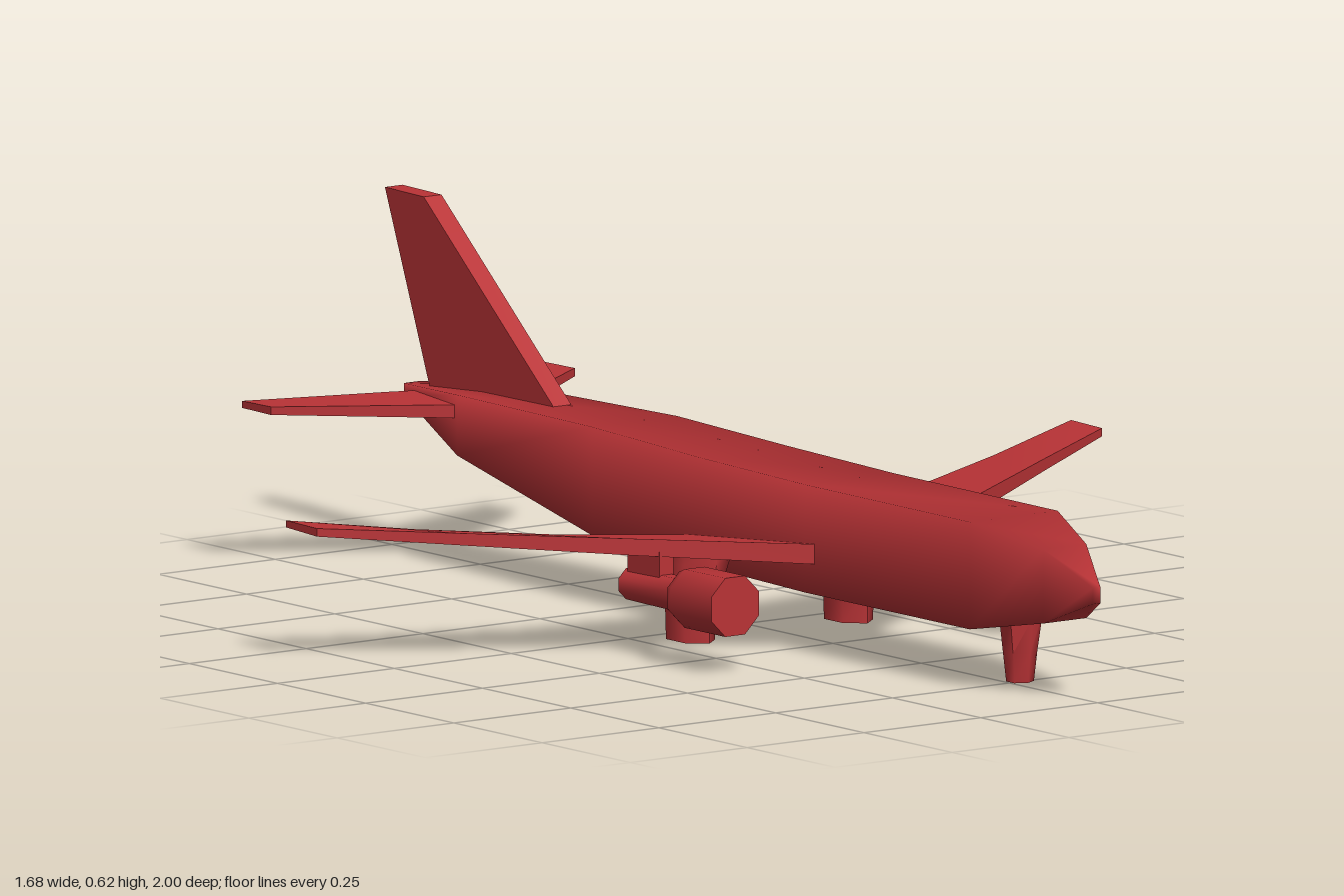
import * as THREE from 'three';
import { toCreasedNormals } from 'three/addons/utils/BufferGeometryUtils.js';

const paint = new THREE.MeshStandardMaterial({ color: 0xb93336 });

// Skin a closed solid over a list of rings (each a list of [x, y, z]); crease 0 = fully smooth
function loft(name, rings, crease = 0) {
  const n = rings[0].length;
  const pts = rings.flat();
  let index = [];
  for (let r = 0; r < rings.length - 1; r++) {
    for (let i = 0; i < n; i++) {
      const a = r * n + i, b = r * n + (i + 1) % n;
      index.push(a, b, b + n, a, b + n, a + n);
    }
  }
  const last = (rings.length - 1) * n;
  for (let i = 1; i < n - 1; i++) {
    index.push(0, i + 1, i, last, last + i, last + i + 1);
  }
  // Turn the faces outward whichever way the rings run
  const v = pts.map(p => new THREE.Vector3(...p));
  const mid = v.reduce((s, p) => s.add(p), new THREE.Vector3()).divideScalar(v.length);
  v.forEach(p => p.sub(mid));
  let volume = 0;
  for (let i = 0; i < index.length; i += 3) {
    volume += v[index[i]].dot(v[index[i + 1]].clone().cross(v[index[i + 2]]));
  }
  if (volume < 0) index = index.reverse();
  let geo = new THREE.BufferGeometry();
  geo.setAttribute('position', new THREE.Float32BufferAttribute(pts.flat(), 3));
  geo.setIndex(index);
  if (crease) geo = toCreasedNormals(geo, crease);
  else geo.computeVertexNormals();
  const mesh = new THREE.Mesh(geo, paint);
  mesh.name = name;
  return mesh;
}

// Wing section at x: leading and trailing z with the y range of each edge
const section = (x, zLead, yLead, zTrail, yTrail) => [
  [x, yLead[0], zLead], [x, yLead[1], zLead],
  [x, yTrail[1], zTrail], [x, yTrail[0], zTrail],
];

// Horizontal ring for the landing gear legs
function legRing(x, y, z, rx, rz, sides) {
  return Array.from({ length: sides }, (_, i) => {
    const a = ((i + 0.5) / sides) * Math.PI * 2;
    const k = 1 / Math.cos(Math.PI / sides);
    return [x + Math.cos(a) * rx * k, y, z + Math.sin(a) * rz * k];
  });
}

export function createModel() {
  const plane = new THREE.Group();
  plane.name = 'airliner';

  // Fuselage: square sections given as z, half width, bottom, top
  const body = [
    [1.0, 0.008, 0.172, 0.2], [0.91, 0.046, 0.13, 0.258], [0.765, 0.094, 0.105, 0.291],
    [0.3, 0.095, 0.105, 0.292], [0, 0.095, 0.112, 0.298], [-0.31, 0.091, 0.12, 0.308],
    [-0.72, 0.07, 0.2, 0.305], [-0.94, 0.018, 0.268, 0.29],
  ];
  plane.add(loft('fuselage', body.map(([z, w, lo, hi]) => [
    [-w - 0.002, lo, z], [w - 0.002, lo, z], [w - 0.002, hi, z], [-w - 0.002, hi, z],
  ])));

  // Tail fin
  const fin = [[-0.5, 0.285], [-0.52, 0.309], [-0.885, 0.62], [-0.995, 0.622], [-0.865, 0.285]];
  plane.add(loft('tailFin', [-0.019, 0.019].map(x => fin.map(([z, y]) => [x, y, z])), 0.6));

  // Nose gear
  plane.add(loft('noseGear', [
    legRing(-0.002, 0.12, 0.785, 0.034, 0.028, 6),
    legRing(-0.002, 0.06, 0.783, 0.026, 0.025, 6),
    legRing(-0.002, 0.008, 0.783, 0.021, 0.02, 6),
  ], 1.1));

  for (const s of [1, -1]) {
    const side = s > 0 ? 'left' : 'right';

    // Main wing with a kinked trailing edge
    plane.add(loft(side + 'Wing', [
      section(s * 0.05, 0.355, [0.155, 0.19], -0.024, [0.138, 0.155]),
      section(s * 0.09, 0.33, [0.157, 0.192], -0.024, [0.142, 0.16]),
      section(s * 0.37, 0.172, [0.18, 0.209], -0.032, [0.173, 0.188]),
      section(s * 0.62, 0.025, [0.203, 0.224], -0.115, [0.2, 0.212]),
      section(s * 0.84, -0.1, [0.224, 0.238], -0.188, [0.228, 0.24]),
    ], 0.7));

    // Tailplane
    plane.add(loft(side + 'Tailplane', [
      section(s * 0.01, -0.69, [0.262, 0.286], -0.89, [0.264, 0.284]),
      section(s * 0.07, -0.732, [0.263, 0.286], -0.912, [0.266, 0.284]),
      section(s * 0.325, -0.912, [0.27, 0.284], -0.995, [0.271, 0.283]),
    ], 0.7));

    // Engine: wide nacelle at the front, narrow exhaust behind
    const profile = [
      [0, 0.095], [0.029, 0.095], [0.031, 0.25], [0.047, 0.255],
      [0.055, 0.275], [0.055, 0.39], [0, 0.39],
    ].map(([r, z]) => new THREE.Vector2(r, z));
    const lathe = toCreasedNormals(new THREE.LatheGeometry(profile, 8, Math.PI / 8), 0.9);
    lathe.rotateX(Math.PI / 2);
    const engine = new THREE.Mesh(lathe, paint);
    engine.name = side + 'Engine';
    engine.position.set(s * 0.315, 0.116, 0);
    plane.add(engine);

    // Short strut holding the exhaust to the wing
    const strut = new THREE.Mesh(new THREE.BoxGeometry(0.03, 0.07, 0.09), paint);
    strut.name = side + 'EngineStrut';
    strut.position.set(s * 0.315, 0.15, 0.15);
    plane.add(strut);

    // Main gear: straight outer side, inner side flaring up to the wing root
    plane.add(loft(side + 'MainGear', [
      legRing(s * 0.152, 0.165, 0.07, 0.052, 0.048, 6),
      legRing(s * 0.155, 0.135, 0.07, 0.049, 0.048, 6),
      legRing(s * 0.169, 0.06, 0.07, 0.034, 0.047, 6),
      legRing(s * 0.169, 0, 0.07, 0.032, 0.047, 6),
    ], 1.1));
  }
  return plane;
}
